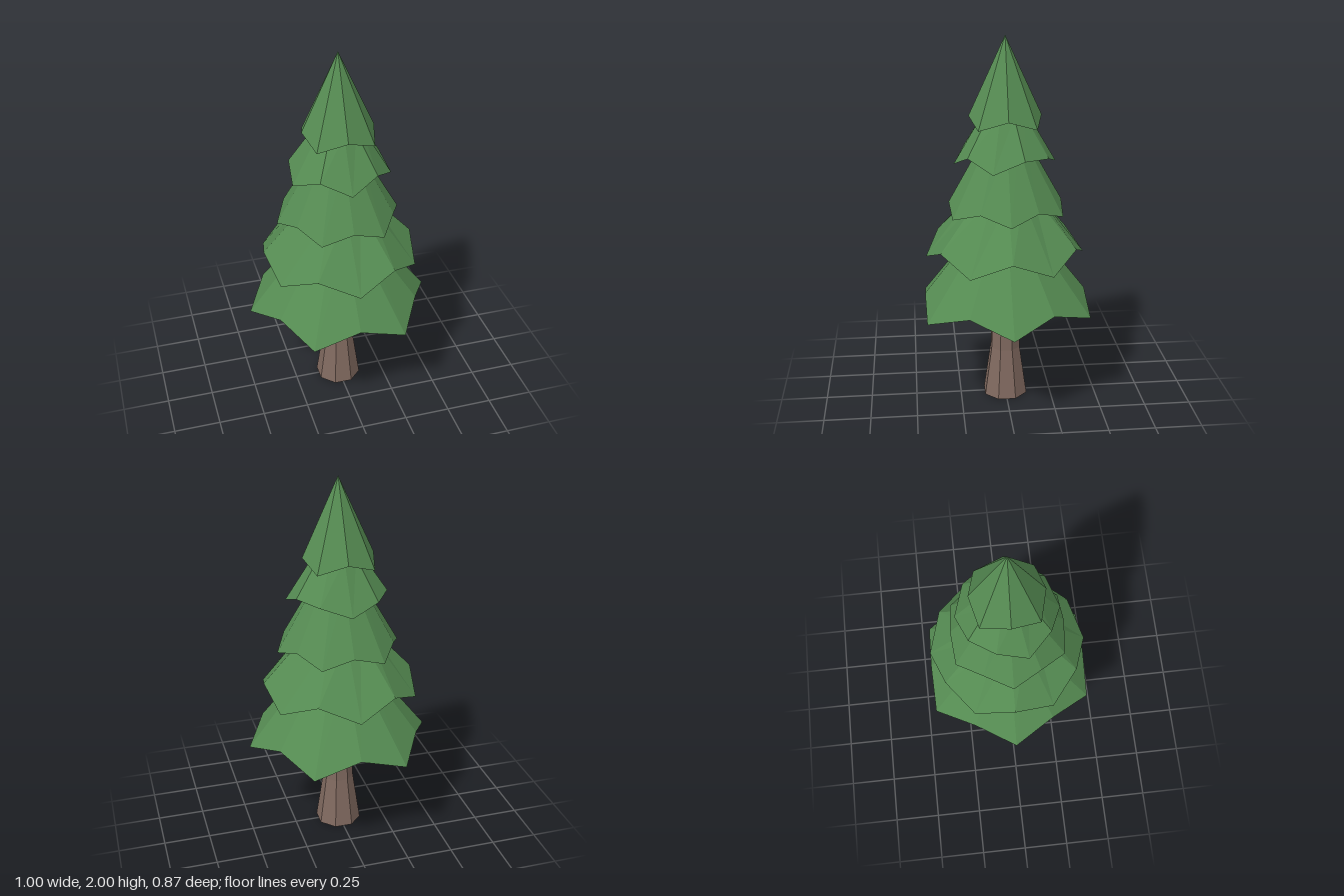
import * as THREE from 'three';

const needles = new THREE.MeshStandardMaterial({ color: 0x558b52, flatShading: true });
needles.name = 'needle green';
const bark = new THREE.MeshStandardMaterial({ color: 0x80695f, flatShading: true });
bark.name = 'bark brown';

// Point at an angle measured from the front (+z) towards +x
const polar = (deg, r, y) => {
  const a = THREE.MathUtils.degToRad(deg);
  return [Math.sin(a) * r, y, Math.cos(a) * r];
};

// Zigzag rim: low tips alternate with raised notches
function zigzag(count, tipFirst, tip, notch) {
  return Array.from({ length: count }, (_, i) => {
    const [r, y] = (i % 2 === 0) === tipFirst ? tip : notch;
    return [i * 360 / count, r, y];
  });
}

// Branch skirt: slopes from a top ring to the rim, then folds back underneath
function skirt(name, rim, top, under) {
  const pos = [];
  const tri = (...pts) => pts.forEach((p) => pos.push(...p));
  rim.forEach((p, i) => {
    const q = rim[(i + 1) % rim.length];
    const a = polar(...p), b = polar(...q);
    const A = polar(p[0], ...top), B = polar(q[0], ...top);
    const c = polar(p[0], ...under), d = polar(q[0], ...under);
    tri(a, b, B);
    if (top[0] > 0) tri(a, B, A);
    tri(b, a, c);
    tri(b, c, d);
  });
  const geo = new THREE.BufferGeometry();
  geo.setAttribute('position', new THREE.Float32BufferAttribute(pos, 3));
  geo.computeVertexNormals();
  const mesh = new THREE.Mesh(geo, needles);
  mesh.name = name;
  return mesh;
}

export function createModel() {
  const tree = new THREE.Group();
  tree.name = 'pineTree';

  // Eight-sided trunk, flared at the foot, flat side to the front
  const profile = [[0, 0], [0.125, 0], [0.084, 0.28], [0.075, 0.6], [0.07, 0.8]]
    .map(([r, y]) => new THREE.Vector2(r, y));
  const trunk = new THREE.Mesh(new THREE.LatheGeometry(profile, 8, Math.PI / 8), bark);
  trunk.name = 'trunk';
  tree.add(trunk);

  // Fourth skirt has uneven tips
  const unevenRim = [
    [0, 0.27, 1.335], [36, 0.255, 1.4], [72, 0.275, 1.34], [108, 0.255, 1.4], [144, 0.26, 1.39],
    [180, 0.267, 1.34], [216, 0.26, 1.39], [252, 0.255, 1.4], [288, 0.275, 1.34], [324, 0.255, 1.4],
  ];

  // Skirts from bottom to top
  tree.add(
    skirt('bottomBranches', zigzag(12, false, [0.5, 0.535], [0.437, 0.61]), [0.15, 0.98], [0.07, 0.76]),
    skirt('lowerBranches', zigzag(12, true, [0.427, 0.825], [0.41, 0.91]), [0.16, 1.18], [0.15, 0.98]),
    skirt('middleBranches', zigzag(12, false, [0.332, 1.08], [0.3, 1.13]), [0.12, 1.45], [0.16, 1.18]),
    skirt('upperBranches', unevenRim, [0.115, 1.6], [0.12, 1.45]),
    skirt('topBranches', zigzag(8, false, [0.213, 1.54], [0.19, 1.59]), [0, 2], [0.115, 1.6]),
  );
  return tree;
}
